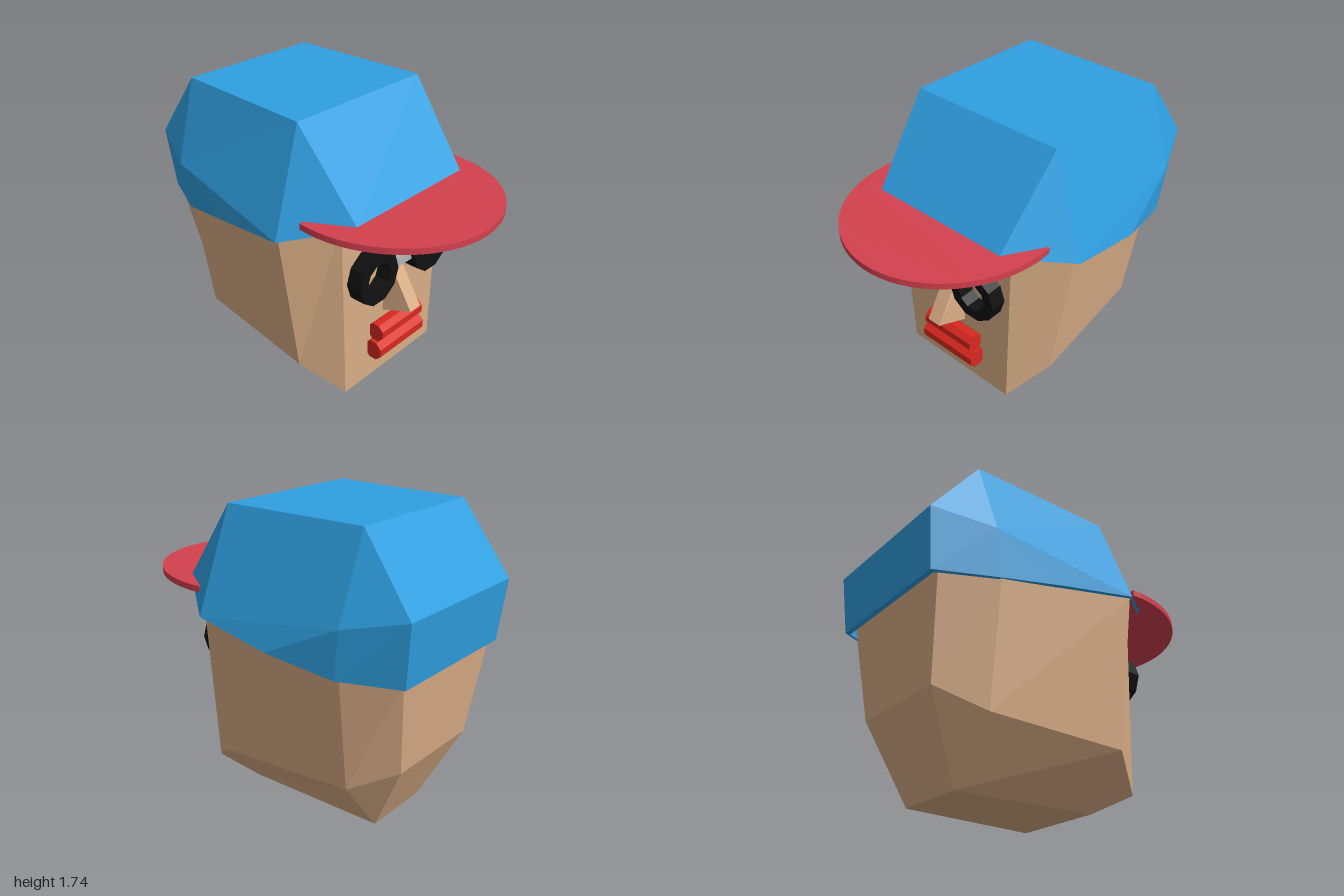
import * as THREE from 'three';

const mat = (color, side = THREE.FrontSide) =>
  new THREE.MeshStandardMaterial({ color, flatShading: true, side });

function part(name, geometry, material, x = 0, y = 0, z = 0) {
  const mesh = new THREE.Mesh(geometry, material);
  mesh.name = name;
  mesh.position.set(x, y, z);
  return mesh;
}

// Closed ring from its left half, listed front to back: [x, y, z, optional width on the right]
const ring = (half) => [
  ...half.map(([x, y, z]) => new THREE.Vector3(x, y, z)),
  ...half.map(([x, y, z, right = x]) => new THREE.Vector3(-right, y, z)).reverse(),
];

// Skin between rings ordered bottom to top, leaving out faces with no area
function loft(rings, closeBottom = true) {
  const positions = [];
  const tri = (a, b, c) => {
    const area = b.clone().sub(a).cross(c.clone().sub(a)).length();
    if (area > 1e-6) for (const p of [a, b, c]) positions.push(p.x, p.y, p.z);
  };
  const n = rings[0].length;
  for (let r = 0; r + 1 < rings.length; r++) {
    const a = rings[r], b = rings[r + 1];
    for (let i = 0; i < n; i++) {
      const j = (i + 1) % n;
      tri(a[i], a[j], b[j]);
      tri(a[i], b[j], b[i]);
    }
  }
  const low = rings[0], high = rings[rings.length - 1];
  for (let i = 1; i + 1 < n; i++) {
    if (closeBottom) tri(low[0], low[i + 1], low[i]);
    tri(high[0], high[i], high[i + 1]);
  }
  const geometry = new THREE.BufferGeometry();
  geometry.setAttribute('position', new THREE.Float32BufferAttribute(positions, 3));
  geometry.computeVertexNormals();
  return geometry;
}

export function createModel() {
  const model = new THREE.Group();
  model.name = 'cappedHead';
  const skin = mat(0xd9ad86), blue = mat(0x2f9fe0, THREE.DoubleSide);
  const crimson = mat(0xd4404f), red = mat(0xd8281f);
  const black = mat(0x101010), grey = mat(0xb4b4b4);

  // Head: chin, jaw and brow rings
  model.add(part('head', loft([
    ring([[0.27, 0.015, 0.2], [0.27, 0.015, 0.2], [0.21, 0, -0.64], [0.21, 0, -0.64]]),
    ring([[0.38, 0.13, 0.41], [0.525, 0.3, 0.19], [0.455, 0.33, -0.62], [0.31, 0.45, -0.86]]),
    ring([[0.415, 1.25, 0.41], [0.645, 1.16, 0.19], [0.545, 1.03, -0.63], [0.41, 1.02, -0.92]]),
  ]), skin, -0.015));

  // Cap: turned-in rim, lower edge, side and back crease, flat crown
  const edge = ring([
    [0.42, 1.265, 0.53, 0.44], [0.67, 1.16, 0.19, 0.68], [0.67, 1.08, -0.27, 0.62],
    [0.59, 1.01, -0.65, 0.56], [0.44, 1.0, -0.96, 0.42],
  ]);
  const rim = edge.map((p) => new THREE.Vector3(p.x * 0.975, p.y - 0.005, p.z * 0.975));
  const crease = ring([
    [0.42, 1.265, 0.53, 0.44], [0.67, 1.16, 0.19, 0.68], [0.6, 1.28, -0.68, 0.58],
    [0.6, 1.28, -0.68, 0.58], [0.47, 1.35, -0.995, 0.44],
  ]);
  const crownFront = [0.465, 1.735, 0.16, 0.475], crownBack = [0.445, 1.74, -0.7, 0.43];
  const crown = ring([crownFront, crownFront, crownBack, crownBack, crownBack]);
  model.add(part('cap', loft([rim, edge, crease, crown], false), blue));

  // Brim: flat half ellipse
  const brimShape = new THREE.Shape();
  brimShape.absellipse(0, 0, 0.585, 0.63, -0.1, Math.PI + 0.13, false, 0);
  brimShape.closePath();
  const brim = new THREE.ExtrudeGeometry(brimShape, { depth: 0.035, bevelEnabled: false, curveSegments: 18 });
  brim.rotateX(Math.PI / 2);
  model.add(part('brim', brim, crimson, -0.022, 1.277, 0.37));

  // Glasses: two ten-sided rings and a bridge
  const decagon = (radius) => Array.from({ length: 10 }, (_, i) => new THREE.Vector2(
    radius * Math.cos(i * Math.PI / 5), radius * Math.sin(i * Math.PI / 5)));
  const lensShape = new THREE.Shape(decagon(0.157));
  lensShape.holes.push(new THREE.Path(decagon(0.093)));
  const frame = new THREE.ExtrudeGeometry(lensShape, { depth: 0.092, bevelEnabled: false });
  model.add(part('rightGlassesRing', frame, black, -0.245, 0.875, 0.422));
  model.add(part('leftGlassesRing', frame, black, 0.208, 0.88, 0.422));
  model.add(part('glassesBridge', new THREE.BoxGeometry(0.16, 0.062, 0.04), grey, -0.018, 0.884, 0.47));

  // Nose: wedge that widens downwards
  model.add(part('nose', loft([
    ring([[0.043, 0.6, 0.59], [0.068, 0.54, 0.405]]),
    ring([[0.043, 0.86, 0.432], [0.055, 0.86, 0.405]]),
  ]), skin, -0.018));

  // Lips: two eight-sided bars
  const lip = (name, radius, width, x, y) => {
    const bar = new THREE.CylinderGeometry(radius, radius, width, 8);
    bar.rotateY(Math.PI / 8);
    bar.rotateZ(Math.PI / 2);
    model.add(part(name, bar, red, x, y, 0.449));
  };
  lip('upperLip', 0.057, 0.36, -0.01, 0.46);
  lip('lowerLip', 0.062, 0.39, -0.013, 0.345);

  return model;
}
